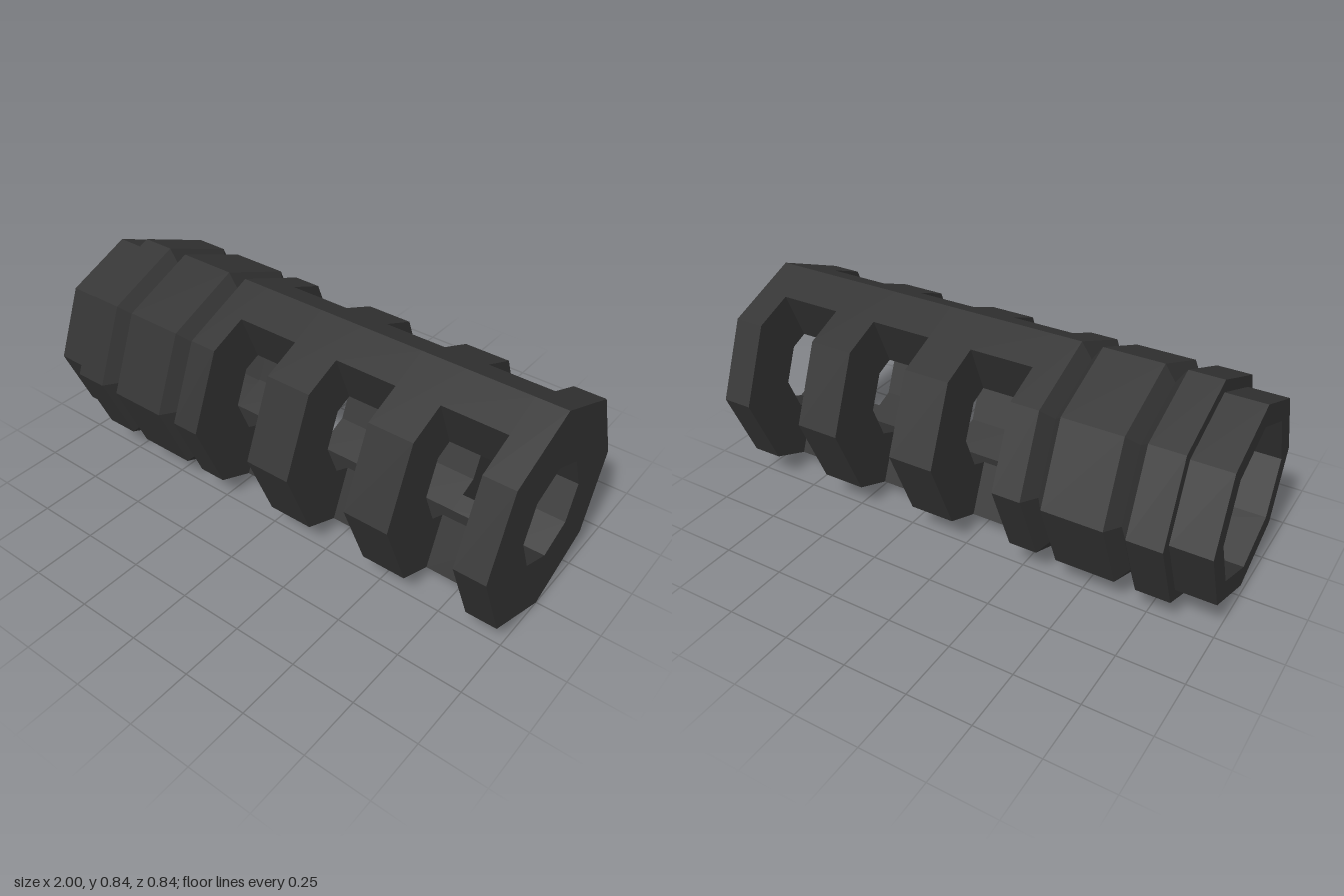
import * as THREE from 'three';

const R = 0.422;      // outer octagon radius
const BORE = 0.192;   // front bore radius
const SOCKET = 0.29;  // wider rear bore radius

export function createModel() {
  const model = new THREE.Group();
  const metal = new THREE.MeshStandardMaterial({ color: 0x333333, flatShading: true });

  const add = (name, geometry) => {
    const mesh = new THREE.Mesh(geometry, metal);
    mesh.name = name;
    mesh.position.y = R;
    model.add(mesh);
  };

  // Eight-sided solid turned around the x axis from [x, radius] pairs
  const turned = (profile) => {
    const points = profile.map(([x, r]) => new THREE.Vector2(r, x));
    points.push(points[0].clone());
    return new THREE.LatheGeometry(points, 8).rotateZ(-Math.PI / 2);
  };

  // Rear body: collar, two V grooves, and a stepped bore
  const groove = (x) => [[x - 0.04, R], [x, 0.363], [x + 0.04, R]];
  add('rearBody', turned([
    [-1, SOCKET], [-1, 0.375], [-0.85, 0.375], [-0.85, R],
    ...groove(-0.68), ...groove(-0.37),
    [-0.22, R], [-0.22, BORE], [-0.4, BORE], [-0.4, SOCKET],
  ]));

  // Baffle rings between the side ports
  const baffles = [[0.03, 0.21], [0.455, 0.63], [0.88, 1]];
  baffles.forEach(([a, b], i) => {
    add(`baffle${i + 1}`, turned([[a, BORE], [a, R], [b, R], [b, BORE]]));
  });

  // Bridge section: one octagon corner with its two adjoining half faces
  const edge = (r) => {
    const m = r * Math.cos(Math.PI / 8);
    return [m * Math.sin(Math.PI / 8), m * Math.cos(Math.PI / 8)];
  };
  const [ox, oy] = edge(R);
  const [ix, iy] = edge(BORE);
  const section = new THREE.Shape([
    [-ox, oy], [-ix, iy], [0, BORE], [ix, iy], [ox, oy], [0, R],
  ].map(([x, y]) => new THREE.Vector2(x, y)));

  // Top and bottom bridges spanning each port
  const ports = [[-0.22, 0.03], [0.21, 0.455], [0.63, 0.88]];
  ports.forEach(([a, b], i) => {
    for (const [side, turn] of [['top', 0], ['bottom', Math.PI]]) {
      const bridge = new THREE.ExtrudeGeometry(section, { depth: b - a, bevelEnabled: false });
      bridge.rotateY(Math.PI / 2).rotateX(turn).translate(a, 0, 0);
      add(`${side}Bridge${i + 1}`, bridge);
    }
  });

  return model;
}
